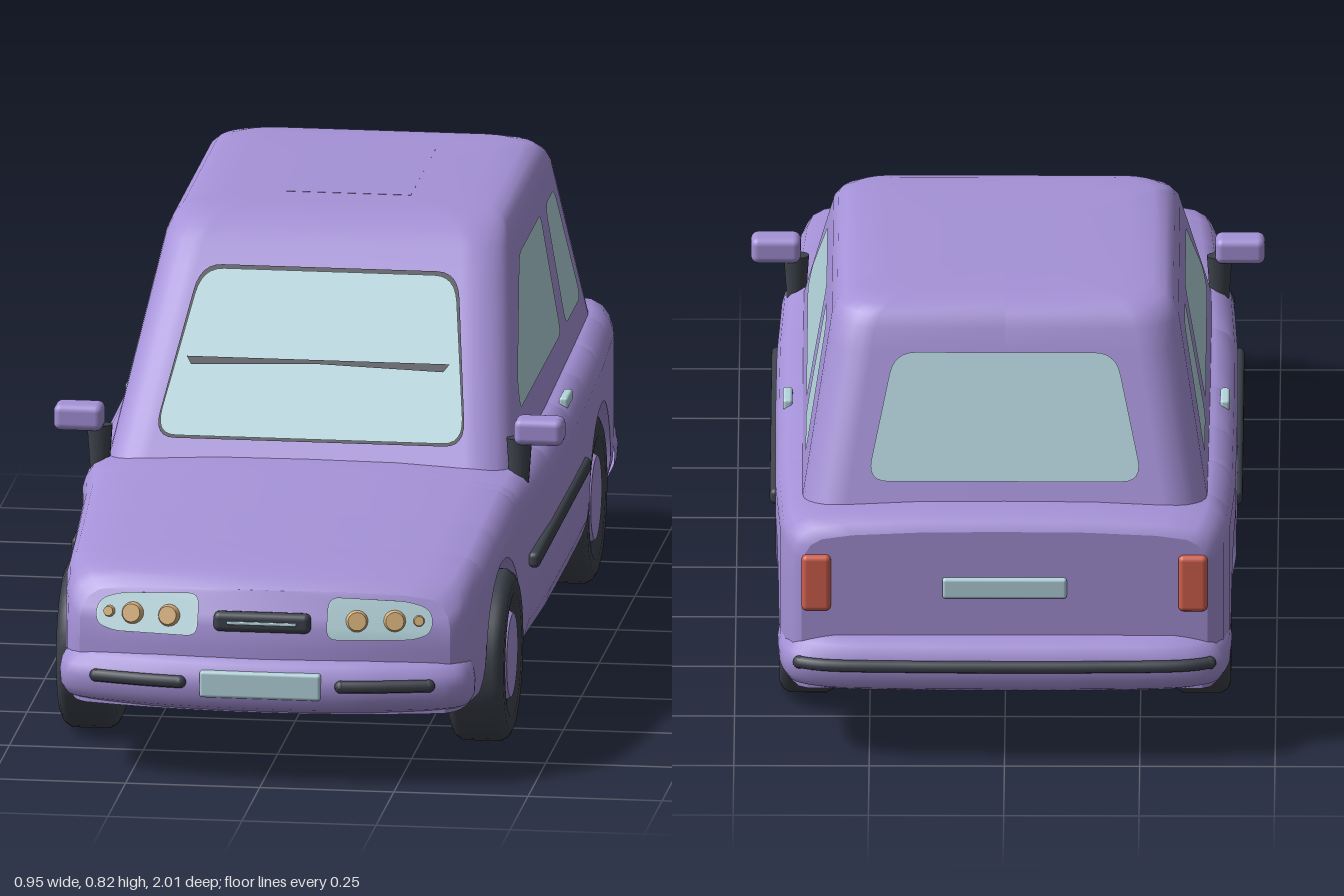
import * as THREE from 'three';
import { RoundedBoxGeometry } from 'three/addons/geometries/RoundedBoxGeometry.js';

const mat = (name, color, side = THREE.FrontSide) => {
  const m = new THREE.MeshStandardMaterial({ color, side });
  m.name = name;
  return m;
};
const paint = mat('lilac paint', 0xa592d8, THREE.DoubleSide);
const glass = mat('pale glass', 0xb4d4dc, THREE.DoubleSide);
const rubber = mat('dark rubber', 0x3d424b, THREE.DoubleSide);
const under = mat('underbody black', 0x2a2c31);
const red = mat('tail light red', 0xd2604e);
const amber = mat('lamp amber', 0xd8b27c);

const clamp = THREE.MathUtils.clamp;
const lerp = THREE.MathUtils.lerp;

// Smooth surface through rows of [x, y, z] points
function sheet(rows) {
  const n = rows[0].length, idx = [];
  for (let i = 0; i < rows.length - 1; i++)
    for (let j = 0; j < n - 1; j++) {
      const a = i * n + j, b = a + n;
      idx.push(a, b, a + 1, b, b + 1, a + 1);
    }
  const g = new THREE.BufferGeometry();
  g.setAttribute('position', new THREE.Float32BufferAttribute(rows.flat(2), 3));
  g.setIndex(idx);
  g.computeVertexNormals();
  return g;
}

// Flat rounded polygon laid onto a surface by map(u, v) -> [x, y, z]
function plate(pts, r, map) {
  const s = new THREE.Shape(), P = pts.map(p => new THREE.Vector2(...p)), n = P.length;
  P.forEach((p, i) => {
    const toward = q => p.clone().add(q.clone().sub(p).setLength(Math.min(r, q.distanceTo(p) / 2)));
    const a = toward(P[(i + n - 1) % n]), b = toward(P[(i + 1) % n]);
    i ? s.lineTo(a.x, a.y) : s.moveTo(a.x, a.y);
    s.quadraticCurveTo(p.x, p.y, b.x, b.y);
  });
  const g = new THREE.ShapeGeometry(s, 6), pos = g.attributes.position;
  for (let i = 0; i < pos.count; i++) pos.setXYZ(i, ...map(pos.getX(i), pos.getY(i)));
  g.computeVertexNormals();
  return g;
}

// Lower body: [z, half width, top height]
const stations = [
  [-0.95, 0.375, 0.445], [-0.94, 0.392, 0.462], [-0.91, 0.405, 0.474], [-0.85, 0.415, 0.475],
  [-0.6, 0.425, 0.466], [-0.2, 0.427, 0.456], [0.1, 0.426, 0.453], [0.34, 0.418, 0.457],
  [0.42, 0.406, 0.447], [0.6, 0.397, 0.424], [0.77, 0.39, 0.405], [0.88, 0.38, 0.395],
  [0.93, 0.372, 0.385], [0.955, 0.362, 0.375], [0.97, 0.345, 0.36]];
const FRONT = 0.58, REAR = -0.6, ARCH = 0.185, SILL = 0.135;

function station(z) {
  let i = 1;
  while (i < stations.length - 1 && stations[i][0] < z) i++;
  const a = stations[i - 1], b = stations[i], t = clamp((z - a[0]) / (b[0] - a[0]), 0, 1);
  return [lerp(a[1], b[1], t), lerp(a[2], b[2], t)];
}
// The nose bows in plan and leans back
function bow(x, y, z) {
  const f = clamp((z - 0.7) / 0.27, 0, 1) ** 2;
  return [x, y, z - f * (0.35 * x * x + 0.5 * Math.max(0, y - 0.29))];
}
function bottomAt(z) {
  for (const c of [FRONT, REAR]) {
    const d = ARCH * ARCH - (z - c) ** 2;
    if (d > -1e-9) return 0.155 + Math.sqrt(Math.max(0, d));
  }
  return SILL;
}
// Right half of a cross-section, from sill to the middle of the top
function halfSection(z) {
  const [w, top] = station(z), yb = bottomAt(z), ys = top - 0.065, p = [];
  for (const t of [0, 0.12, 0.25, 0.5, 0.75, 1]) {
    const y = lerp(yb, ys, t);
    p.push([w * (1 - 0.035 * clamp((0.2 - y) / 0.07, 0, 1) ** 2), y]);
  }
  for (const [f, d] of [[0.985, 0.045], [0.955, 0.027], [0.9, 0.015], [0.75, 0.007], [0.4, 0.001], [0, 0]])
    p.push([w * f, top - d]);
  return p;
}

function addBody(add) {
  const zs = stations.map(s => s[0]);
  for (let z = -0.4; z < 0.39; z += 0.1) zs.push(z);
  for (const c of [FRONT, REAR]) {
    zs.push(c - ARCH - 0.001, c + ARCH + 0.001);
    for (let i = 0; i <= 18; i++) zs.push(c + ARCH * Math.cos(Math.PI * i / 18));
  }
  zs.sort((a, b) => a - b);
  add('body', sheet(zs.map(z => {
    const h = halfSection(z);
    const m = h.slice(0, -1).reverse().map(([x, y]) => [-x, y]);
    return [...h, ...m].map(([x, y]) => bow(x, y, z));
  })), paint);
  add('bodyUnderside', sheet(zs.map(z => {
    const [x, y] = halfSection(z)[0];
    return [bow(x, y, z), bow(0, y, z), bow(-x, y, z)];
  })), paint);
  // Nose and tail panels
  for (const [name, z] of [['nosePanel', 0.97], ['tailPanel', -0.95]])
    add(name, sheet(halfSection(z).map(([x, y]) =>
      Array.from({ length: 13 }, (_, k) => bow(x * (k / 6 - 1), y, z)))), paint);
  add('underbody', new THREE.BoxGeometry(0.62, 0.2, 1.56), under, 0, 0.212, 0);
  add('floor', new THREE.BoxGeometry(0.8, 0.012, 0.78), under, 0, 0.131, -0.01);
}

// Cabin planes as functions of height
const cabFront = y => 0.33 - (y - 0.46) * 1.12;
const cabRear = y => -0.875 + (y - 0.46) * 0.36;
const cabHalf = y => 0.37 - (y - 0.48) * 0.1686;

function addCabin(add) {
  const levels = [[0.4, 0], [0.48, 0], [0.735, 0], [0.775, 0], [0.798, 0.006], [0.812, 0.018],
    [0.82, 0.04], [0.823, 0.09], [0.824, 0.2]];
  add('cabin', sheet(levels.map(([y, inset]) => {
    const zf = cabFront(y) - inset, zr = cabRear(y) + inset, w = cabHalf(y) - inset, r = 0.08;
    const loop = [[0, y, zr]];
    [[1, -1, -90], [1, 1, 0], [-1, 1, 90], [-1, -1, 180]].forEach(([sx, sz, a0]) => {
      for (let k = 0; k <= 6; k++) {
        const a = THREE.MathUtils.degToRad(a0 + k * 15);
        loop.push([sx * (w - r) + r * Math.cos(a), y, (sz > 0 ? zf - r : zr + r) + r * Math.sin(a)]);
      }
    });
    loop.push([0, y, zr]);
    return loop;
  })), paint);
  add('roofCentre', new THREE.BoxGeometry(0.24, 0.01, 0.36), paint, 0, 0.819, -0.4);

  const onFront = d => (x, y) => [x, y + d, cabFront(y) + d];
  const onRear = d => (x, y) => [x, y, cabRear(y) - d];
  add('windshieldSeal', plate([[-0.291, 0.481], [0.291, 0.481], [0.24, 0.74], [-0.24, 0.74]], 0.04, onFront(0.002)), rubber);
  add('windshield', plate([[-0.288, 0.484], [0.288, 0.484], [0.236, 0.733], [-0.236, 0.733]], 0.04, onFront(0.004)), glass);
  add('wipers', plate([[-0.245, 0.6], [-0.235, 0.588], [0, 0.594], [0.235, 0.588], [0.245, 0.6], [0, 0.6]], 0.001, onFront(0.007)), rubber);
  add('rearWindow', plate([[-0.255, 0.51], [0.255, 0.51], [0.205, 0.735], [-0.205, 0.735]], 0.04, onRear(0.004)), glass);
  for (const s of [1, -1]) {
    const onSide = (z, y) => [s * (cabHalf(y) + 0.004), y, z];
    add('frontSideWindow', plate([[0.12, 0.51], [-0.45, 0.51], [-0.45, 0.737], [-0.15, 0.737], [0.1, 0.56]], 0.025, onSide), glass);
    add('rearSideWindow', plate([[-0.515, 0.51], [-0.725, 0.51], [-0.64, 0.737], [-0.515, 0.737]], 0.03, onSide), glass);
  }
}

function addBumper(add, name, s, half) {
  const pts = [...half, ...half.slice(0, -1).reverse().map(([x, z]) => [-x, z])];
  const path = new THREE.CatmullRomCurve3(pts.map(([x, z]) => new THREE.Vector3(x, 0, z))).getPoints(48);
  const levels = [[0.135, 0.09], [0.135, 0.035], [0.147, 0.012], [0.165, 0.002], [0.19, 0], [0.21, 0.004], [0.228, 0.016], [0.24, 0.035], [0.244, 0.09]];
  add(name, sheet(levels.map(([y, d]) => path.map(p => [p.x * (1 - d / 0.45), y, p.z - s * d]))), paint);
  return path;
}
function bumperStrip(add, path, x0, x1) {
  const pts = path.filter(p => p.x >= x0 && p.x <= x1).map(p => new THREE.Vector3(p.x, 0.195, p.z));
  const curve = new THREE.CatmullRomCurve3(pts);
  add('bumperStrip', new THREE.TubeGeometry(curve, 40, 0.012, 8), rubber);
  for (const p of [pts[0], pts[pts.length - 1]])
    add('bumperStripEnd', new THREE.SphereGeometry(0.012, 10, 8), rubber, p.x, p.y, p.z);
}

function makeWheel() {
  const g = new THREE.Group();
  const prof = [[0.09, -0.053], [0.14, -0.053], [0.152, -0.047], [0.16, -0.034], [0.16, 0.034],
    [0.152, 0.047], [0.14, 0.053], [0.115, 0.053], [0.1, 0.044], [0.09, 0.04]];
  const part = (name, geo, m, x = 0) => {
    geo.rotateZ(-Math.PI / 2);
    const mesh = new THREE.Mesh(geo, m);
    mesh.name = name;
    mesh.position.x = x;
    g.add(mesh);
  };
  part('tyre', new THREE.LatheGeometry(prof.map(p => new THREE.Vector2(...p)), 40), rubber);
  part('wheelBack', new THREE.CylinderGeometry(0.1, 0.1, 0.085, 32), rubber);
  part('hubcap', new THREE.CylinderGeometry(0.078, 0.085, 0.012, 32), paint, 0.045);
  return g;
}

export function createModel() {
  const car = new THREE.Group();
  car.name = 'car';
  const add = (name, geo, m, x = 0, y = 0, z = 0) => {
    const mesh = new THREE.Mesh(geo, m);
    mesh.name = name;
    mesh.position.set(x, y, z);
    car.add(mesh);
    return mesh;
  };
  const box = (name, m, w, h, d, x, y, z, r = 0.006) =>
    add(name, new RoundedBoxGeometry(w, h, d, 3, r), m, x, y, z);

  addBody(add);
  addCabin(add);
  const front = addBumper(add, 'frontBumper', 1, [[0.382, 0.85], [0.386, 0.9], [0.366, 0.94], [0.24, 0.98], [0.12, 0.996], [0, 1]]);
  const rear = addBumper(add, 'rearBumper', -1, [[0.42, -0.82], [0.416, -0.9], [0.4, -0.955], [0.35, -0.983], [0.18, -0.995], [0, -0.997]]);
  bumperStrip(add, front, 0.135, 0.335);
  bumperStrip(add, front, -0.335, -0.135);
  bumperStrip(add, rear, -0.38, 0.38);

  // Plates and grille
  box('frontPlate', glass, 0.226, 0.05, 0.02, 0, 0.193, 0.992);
  box('rearPlate', glass, 0.23, 0.04, 0.016, 0, 0.335, -0.952);
  box('grille', rubber, 0.182, 0.038, 0.026, 0, 0.306, 0.963, 0.012);
  box('grilleBar', glass, 0.13, 0.006, 0.01, 0, 0.306, 0.975, 0.002);

  for (const s of [1, -1]) {
    // Headlights with three lamps each
    const face = (x, y, d) => { const p = bow(x, y, 0.97); p[2] += d; return p; };
    add('headlight', plate([[0.12, 0.278], [0.285, 0.278], [0.315, 0.292], [0.312, 0.33], [0.27, 0.345], [0.12, 0.353]]
      .map(([x, y]) => [s * x, y]), 0.022, (x, y) => face(x, y, 0.008)), glass);
    for (const [x, r] of [[0.176, 0.021], [0.245, 0.021], [0.289, 0.011]])
      add('lamp', new THREE.CylinderGeometry(r * 0.8, r, 0.012, 20).rotateX(Math.PI / 2 - 0.25), amber,
        ...face(s * x, 0.312, 0.011)).rotation.y = s * 0.15;

    box('tailLight', red, 0.054, 0.11, 0.03, s * 0.348, 0.345, -0.947, 0.01);
    box('sideTrim', rubber, 0.022, 0.03, 0.73, s * 0.426, 0.284, -0.005, 0.01);
    box('doorHandle', glass, 0.018, 0.022, 0.07, s * 0.404, 0.436, -0.255);

    // Door mirrors
    const stalk = add('mirrorStalk', new THREE.CylinderGeometry(0.024, 0.018, 0.085, 14), rubber, s * 0.391, 0.46, 0.3);
    stalk.scale.z = 0.75;
    box('mirrorHousing', paint, 0.092, 0.05, 0.056, s * 0.429, 0.518, 0.3, 0.014);

    for (const z of [FRONT, REAR]) {
      const w = makeWheel();
      w.name = z > 0 ? 'frontWheel' : 'rearWheel';
      w.position.set(s * 0.364, 0.16, z);
      w.rotation.y = s > 0 ? 0 : Math.PI;
      car.add(w);
    }
  }
  return car;
}
